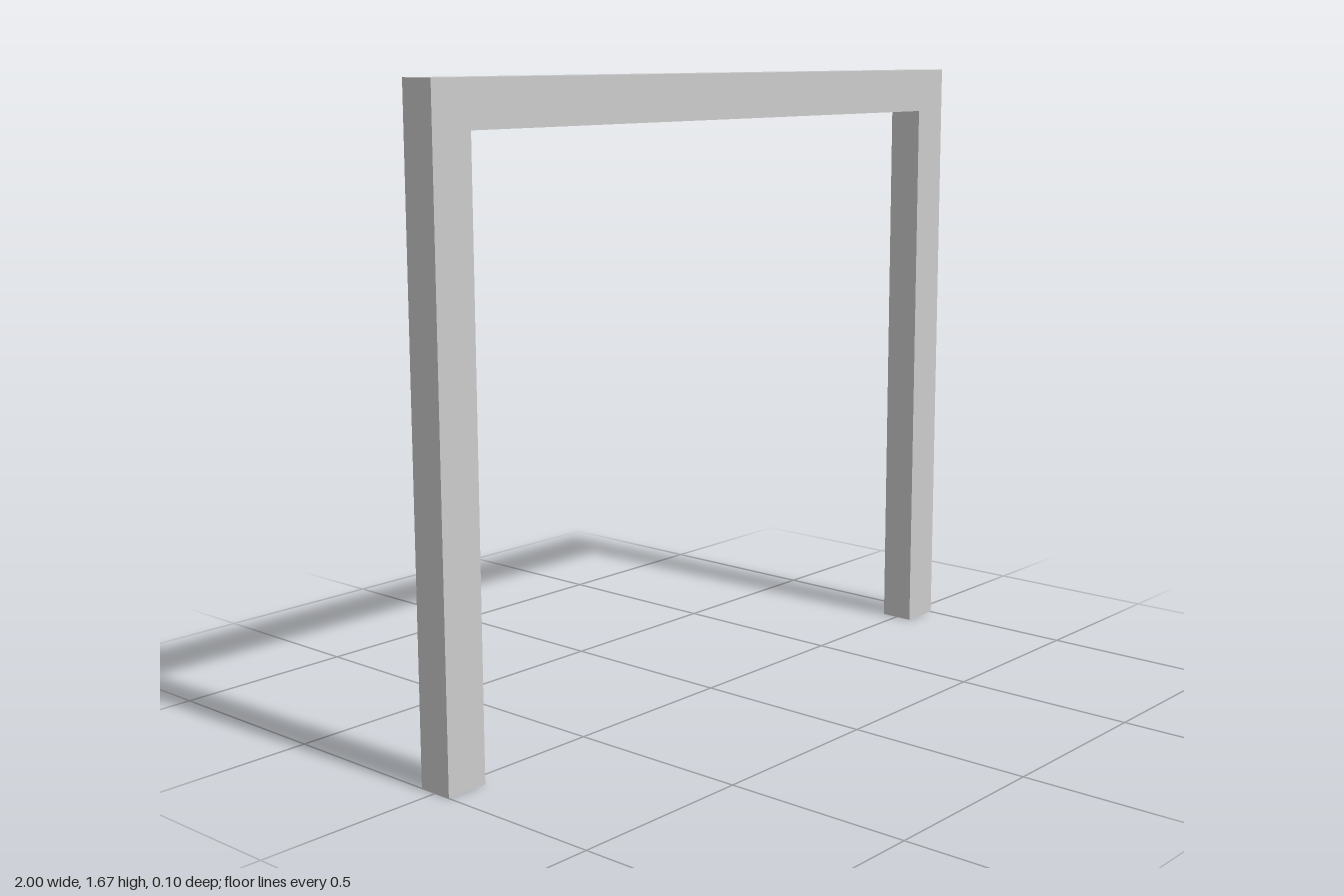
import * as THREE from 'three';

const HALF_W = 1, HEIGHT = 1.675;          // outer size
const IN_W = 0.884, IN_H = 1.556;          // opening size
const DEPTH = 0.096;

export function createModel() {
  const frame = new THREE.Group();
  frame.name = 'doorFrame';
  const material = new THREE.MeshStandardMaterial({
    color: 0xcccccc, side: THREE.DoubleSide, flatShading: true,
  });

  const add = (name, geometry, x, y, z) => {
    const mesh = new THREE.Mesh(geometry, material);
    mesh.name = name;
    mesh.position.set(x, y, z);
    frame.add(mesh);
  };

  // U-shaped front face
  const face = new THREE.Shape([
    [-HALF_W, 0], [-IN_W, 0], [-IN_W, IN_H], [IN_W, IN_H],
    [IN_W, 0], [HALF_W, 0], [HALF_W, HEIGHT], [-HALF_W, HEIGHT],
  ].map(([x, y]) => new THREE.Vector2(x, y)));
  add('frontFace', new THREE.ShapeGeometry(face), 0, 0, DEPTH / 2);

  // Thin flanges behind it; the channel stays open at the back and at the feet
  for (const [prefix, w, h, dir] of [['outer', HALF_W, HEIGHT, 1], ['inner', IN_W, IN_H, -1]]) {
    for (const side of [-1, 1]) {
      const wall = new THREE.PlaneGeometry(DEPTH, h).rotateY(side * dir * Math.PI / 2);
      add(prefix + (side > 0 ? 'LeftFlange' : 'RightFlange'), wall, side * w, h / 2, 0);
    }
    const top = new THREE.PlaneGeometry(2 * w, DEPTH).rotateX(-dir * Math.PI / 2);
    add(prefix + 'TopFlange', top, 0, h, 0);
  }
  return frame;
}
